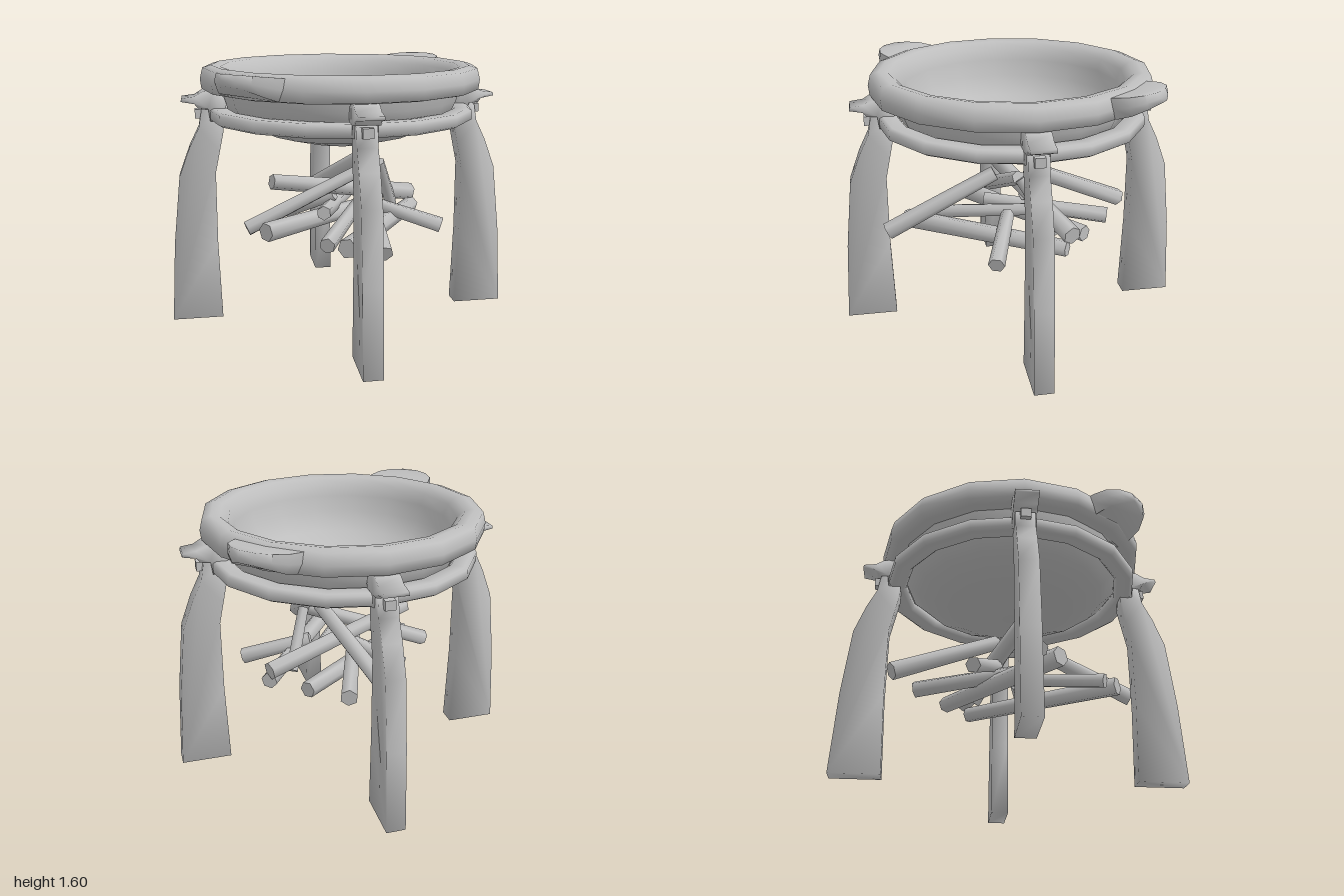
import * as THREE from 'three';
import { toCreasedNormals } from 'three/addons/utils/BufferGeometryUtils.js';

const grey = new THREE.MeshStandardMaterial({ color: 0xbebebe });
grey.name = 'grey';

function part(name, geometry, parent) {
  const mesh = new THREE.Mesh(geometry, grey);
  mesh.name = name;
  parent.add(mesh);
  return mesh;
}

const vectors = (points) => points.map(([x, y]) => new THREE.Vector2(x, y));

function lathe(points) {
  return toCreasedNormals(new THREE.LatheGeometry(vectors(points), 16), 1.3);
}

// Flat outline in (radius, height) with a given thickness, softly shaded over its edges
function slab(points, thickness) {
  const geometry = new THREE.ExtrudeGeometry(new THREE.Shape(vectors(points)),
    { depth: thickness, bevelEnabled: false });
  geometry.translate(0, 0, -thickness / 2);
  return toCreasedNormals(geometry, 1.7);
}

// Rounded grip that rises and thins towards its tip
function handleGeometry() {
  const outline = [[0.72, -0.22], [0.82, -0.21], [0.9, -0.19], [0.965, -0.13], [1, -0.05],
    [1, 0.05], [0.965, 0.13], [0.9, 0.19], [0.82, 0.21], [0.72, 0.22]];
  const geometry = new THREE.ExtrudeGeometry(new THREE.Shape(vectors(outline)),
    { depth: 1, bevelEnabled: false, steps: 2 });
  geometry.rotateX(-Math.PI / 2);
  const p = geometry.attributes.position;
  for (let i = 0; i < p.count; i++) {
    const x = p.getX(i), h = p.getY(i);
    const t = (x - 0.72) / 0.28;
    const low = 1.44 + 0.095 * t * t;
    const high = 1.565 + 0.033 * t;
    p.setY(i, low + (high - low) * h);
    if (h < 0.25) p.setZ(i, p.getZ(i) * 0.86);
    if (h > 0.75) p.setX(i, x - 0.015 * t);
  }
  return toCreasedNormals(geometry, 1.4);
}

// Tapered stick between two points
function log(name, a, b, radius, parent) {
  const start = new THREE.Vector3(...a), end = new THREE.Vector3(...b);
  const along = end.clone().sub(start);
  const geometry = new THREE.CylinderGeometry(radius * 0.85, radius, along.length(), 6);
  const mesh = part(name, toCreasedNormals(geometry, 1.1), parent);
  mesh.position.copy(start).add(end).multiplyScalar(0.5);
  mesh.quaternion.setFromUnitVectors(new THREE.Vector3(0, 1, 0), along.normalize());
}

export function createModel() {
  const model = new THREE.Group();
  model.name = 'fireBowl';

  // Bowl: underside, thick rolled rim, then the inside
  part('bowl', lathe([
    [0, 1.076], [0.2, 1.107], [0.44, 1.165], [0.6, 1.235], [0.685, 1.31], [0.715, 1.38], [0.73, 1.442],
    [0.8, 1.44], [0.845, 1.45], [0.852, 1.51], [0.835, 1.575], [0.785, 1.59], [0.73, 1.58],
    [0.685, 1.54], [0.66, 1.47], [0.635, 1.37], [0.56, 1.255], [0.42, 1.18], [0.2, 1.125], [0, 1.1],
  ]), model);

  // Handles on both sides
  for (const side of [0, 1]) {
    part(side ? 'rightHandle' : 'leftHandle', handleGeometry(), model).rotation.y = side * Math.PI;
  }

  // Support ring
  part('supportRing', lathe([
    [0.69, 1.28], [0.71, 1.26], [0.79, 1.257], [0.812, 1.27], [0.812, 1.325],
    [0.79, 1.336], [0.71, 1.335], [0.69, 1.315], [0.69, 1.28],
  ]), model);

  // Four legs on the diagonals, each with a hooked clamp over the ring
  const legShape = slab([
    [0.765, 0], [1.075, 0], [1.045, 0.5], [0.998, 0.92], [0.93, 1.1], [0.87, 1.22], [0.85, 1.33],
    [0.725, 1.33], [0.722, 1.2], [0.75, 1.07], [0.778, 0.94], [0.78, 0.5],
  ], 0.115);
  const hookShape = slab([
    [0.735, 1.26], [0.8, 1.26], [0.81, 1.335], [0.87, 1.34], [0.89, 1.365], [0.97, 1.38],
    [0.965, 1.4], [0.89, 1.41], [0.84, 1.44], [0.775, 1.45], [0.72, 1.42], [0.7, 1.36],
  ], 0.14);
  for (let i = 0; i < 4; i++) {
    const leg = new THREE.Group();
    leg.name = 'leg' + (i + 1);
    leg.rotation.y = Math.PI / 4 + i * Math.PI / 2;
    part('legPost', legShape, leg);
    part('hook', hookShape, leg);
    part('peg', new THREE.BoxGeometry(0.12, 0.055, 0.06), leg).position.set(0.83, 1.3, 0);
    model.add(leg);
  }

  // Heap of firewood: thick end, thin end, radius
  const firewood = new THREE.Group();
  firewood.name = 'firewood';
  [
    [[-0.48, 0.61, 0.64], [-0.01, 0.95, 0.16], 0.054],
    [[0.45, 0.635, -0.6], [0.17, 0.99, 0.06], 0.056],
    [[-0.5, 0.59, -0.35], [0.17, 0.96, 0.16], 0.05],
    [[0.57, 0.69, 0.18], [-0.35, 0.87, -0.27], 0.058],
    [[-0.52, 0.61, 0.42], [0.55, 0.61, 0.2], 0.06],
    [[0.3, 0.58, 0.57], [0.1, 0.71, 0.18], 0.05],
    [[-0.52, 0.6, -0.18], [0.52, 0.6, -0.05], 0.06],
    [[-0.05, 0.6, -0.41], [0.05, 0.74, -0.08], 0.05],
    [[0.42, 0.64, 0.12], [0.19, 0.96, 0.17], 0.042],
    [[-0.52, 0.6, 0.28], [0.2, 0.72, 0.05], 0.048],
    [[0.52, 0.62, -0.33], [-0.2, 0.68, 0.02], 0.054],
  ].forEach(([a, b, r], i) => log('log' + (i + 1), a, b, r, firewood));
  model.add(firewood);

  return model;
}
